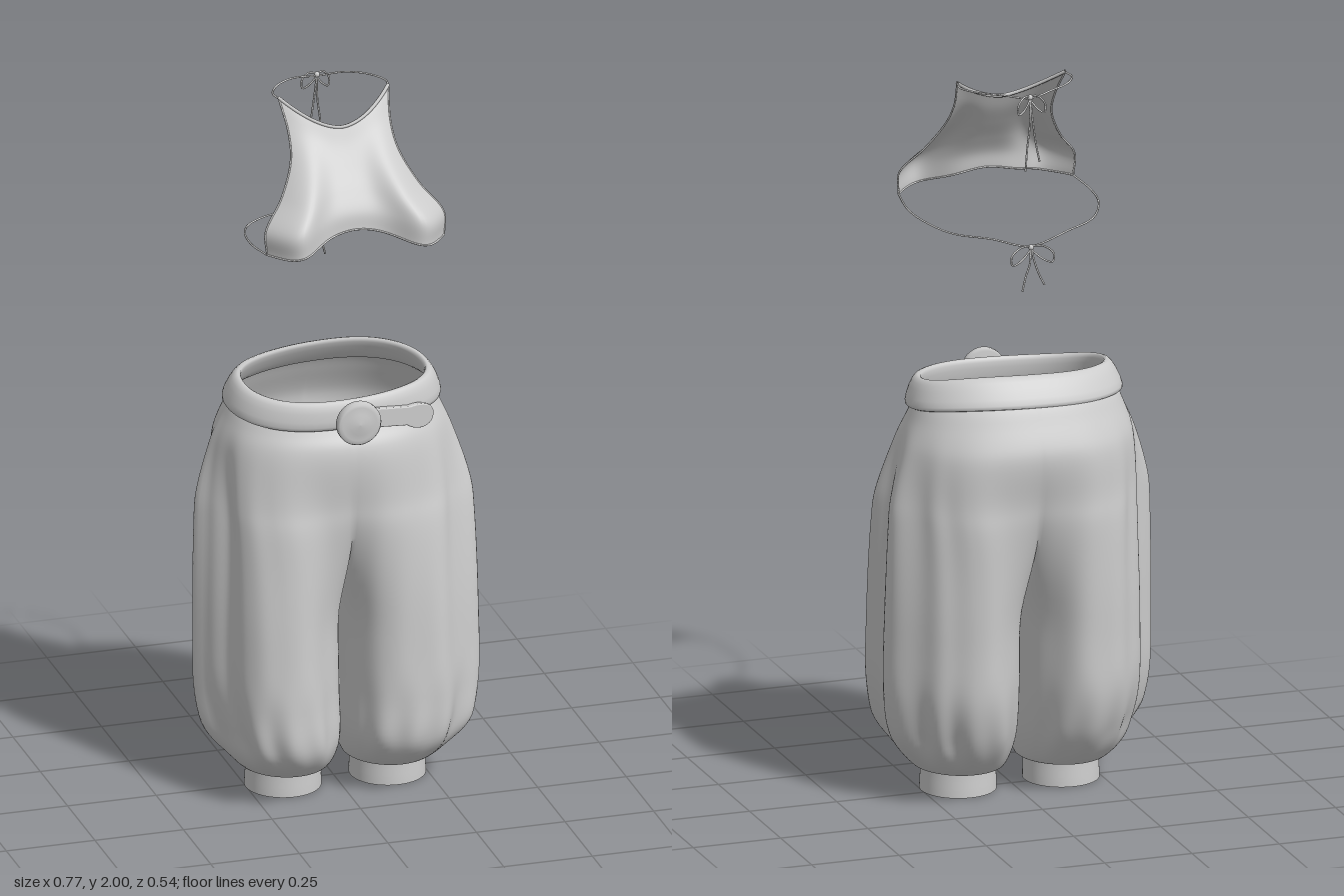
import * as THREE from 'three';
import { mergeGeometries, mergeVertices } from 'three/addons/utils/BufferGeometryUtils.js';

const { lerp, smoothstep } = THREE.MathUtils;
const V = (x, y, z) => new THREE.Vector3(x, y, z);
const material = new THREE.MeshStandardMaterial({ color: 0xcccccc, side: THREE.DoubleSide });
const spow = (v, p) => Math.sign(v) * Math.abs(v) ** p;

function mesh(name, geometry) {
  const m = new THREE.Mesh(geometry, material);
  m.name = name;
  return m;
}

// Surface from a grid of points; rows run downwards, columns run to the right
function grid(rows, cols, point, flip = false, keep = () => true) {
  const pos = [], index = [];
  for (let i = 0; i <= rows; i++)
    for (let j = 0; j <= cols; j++) pos.push(...point(i, j));
  for (let i = 0; i < rows; i++)
    for (let j = 0; j < cols; j++) {
      if (!keep(i, j)) continue;
      const a = i * (cols + 1) + j, b = a + 1, c = a + cols + 1, d = c + 1;
      index.push(...(flip ? [a, b, c, b, d, c] : [a, c, b, b, c, d]));
    }
  const g = new THREE.BufferGeometry();
  g.setAttribute('position', new THREE.Float32BufferAttribute(pos, 3));
  g.setIndex(index);
  return g;
}

function smooth(...parts) {
  const g = mergeVertices(mergeGeometries(parts), 1e-4);
  g.computeVertexNormals();
  return g;
}

// Smooth interpolation through the rows of a small table
function sampler(table) {
  const curve = k => new THREE.CatmullRomCurve3(table.map(r => V(r[k], r[k + 1], r[k + 2])), false, 'catmullrom', 0.5);
  const a = curve(0), b = curve(3);
  return t => [...a.getPoint(t).toArray(), ...b.getPoint(t).toArray()];
}

function cord(name, points, radius = 0.0027, closed = false) {
  const path = new THREE.CatmullRomCurve3(points, closed);
  return mesh(name, new THREE.TubeGeometry(path, 64, radius, 6, closed));
}

// Trouser sections: y, outer x, inner x, front z, back z, roundness
const legSections = sampler([
  [1.13, 0.275, 0, 0.15, -0.19, 0.9],
  [1.08, 0.297, 0, 0.17, -0.228, 0.9],
  [1.0, 0.328, 0, 0.198, -0.268, 0.9],
  [0.87, 0.353, 0, 0.213, -0.268, 0.9],
  [0.76, 0.36, 0, 0.23, -0.272, 0.92],
  [0.5, 0.368, 0, 0.235, -0.253, 0.95],
  [0.3, 0.366, 0, 0.247, -0.248, 0.95],
  [0.16, 0.335, 0.002, 0.238, -0.20, 0.95],
  [0.075, 0.272, 0.022, 0.16, -0.125, 1],
  [0.088, 0.25, 0.043, 0.122, -0.088, 1],
  [0, 0.252, 0.043, 0.122, -0.09, 1],
]);

// Broad pleats of each leg: place around the leg, width, depth
const pleats = {
  1: [[0.06, 0.04, 0.07], [0.3, 0.04, -0.03], [0.415, 0.035, 0.13], [0.475, 0.025, -0.05], [0.55, 0.045, 0.08],
    [0.66, 0.05, -0.07], [0.73, 0.04, -0.04], [0.87, 0.07, 0.06]],
  '-1': [[0.06, 0.05, -0.09], [0.32, 0.04, -0.05], [0.415, 0.055, -0.17], [0.515, 0.022, 0.16], [0.59, 0.06, -0.15],
    [0.71, 0.05, -0.1], [0.86, 0.07, 0.08]],
};

function trouserHalf(side) {
  const per = 7, rows = 10 * per, crotch = 4 * per, outer = 120, inner = 16;
  const point = (i, j) => {
    const [y, xo, xi, zf, zb, p] = legSections(i / rows);
    const isInner = j > outer;
    const u = Math.min(j / outer, 1), k = isInner ? (j - outer) / inner : 0;
    const cx = (xo + xi) / 2, hx = (xo - xi) / 2, zc = (zf + zb) / 2, zr = (zf - zb) / 2;
    const w = 1 - smoothstep(y, 0.45, 1.05);      // from shared hips to separate leg
    const split = 1 - smoothstep(y, 0.5, 0.76);   // opening of the inner legs
    const a = -Math.PI / 3 + u * Math.PI * 5 / 3 + k * Math.PI / 3;
    const legX = cx + hx * spow(Math.sin(a), p), legZ = zc + zr * spow(Math.cos(a), p);
    if (isInner) {
      const hipZ = zc + zr * (2 * k - 1);
      return [side * w * legX * split, y - 0.1 * Math.sin(Math.PI * k) * (1 - split), lerp(hipZ, legZ, w)];
    }
    const h = Math.PI * u, bulge = Math.sin(h);
    const seamX = cx + hx * spow(Math.sin(-Math.PI / 3), p);
    let x = lerp(xo * spow(Math.sin(h), p), legX, w) - w * seamX * (1 - split) * (1 - bulge);
    let z = lerp(zc + zr * spow(Math.cos(h), p), legZ, w);
    // Hanging pleats, with tighter gathers above the cuff
    const env = smoothstep(y, 0.085, 0.2) * (1 - smoothstep(y, 0.8, 1.1)) * Math.sqrt(Math.max(bulge, 0));
    const gather = 1 - smoothstep(y, 0.1, 0.4);
    let f = 0.018 * Math.cos(2 * Math.PI * 7 * u + side * 1.3) + 0.045 * gather * Math.cos(2 * Math.PI * 10 * u + side);
    for (const [place, width, depth] of pleats[side]) f += depth * Math.exp(-(((u - place) / width) ** 2));
    f *= env * lerp(0.55, 1, w);
    x += (x - cx * w) * f;
    z += (z - zc) * f;
    // The waist rises towards the back, under the band
    return [side * x, y - 0.03 * smoothstep(y, 1.02, 1.13) * Math.cos(h), z];
  };
  return grid(rows, outer + inner, point, side < 0, (i, j) => j < outer || i >= crotch);
}

function waistband() {
  const n = 80, m = 14;
  return smooth(grid(m, n, (i, j) => {
    const a = (j % n) / n * Math.PI * 2, b = (i % m) / m * Math.PI * 2;
    const up = 0.04 * spow(Math.cos(b), 0.8);
    // The band flares outwards, most of all at the back
    const out = 0.015 * spow(Math.sin(b), 0.8) - up * (0.4 - 0.25 * Math.cos(a));
    const c = spow(Math.cos(a), 0.9), s = spow(Math.sin(a), 0.9);
    return [(0.277 + out) * s, 1.143 - 0.022 * Math.cos(a) + 0.004 * Math.sin(3 * a) + up, -0.012 + (0.173 + out) * c];
  }));
}

function buckle() {
  const g = new THREE.Group();
  g.name = 'buckle';
  const profile = [[0, -0.014], [0.056, -0.014], [0.062, -0.006], [0.062, 0.008], [0.057, 0.016], [0.048, 0.013], [0.03, 0.018], [0, 0.021]];
  const disc = mesh('buckleDisc', new THREE.LatheGeometry(profile.map(q => new THREE.Vector2(...q)), 40));
  disc.rotation.x = Math.PI / 2;
  disc.position.set(0.008, 1.11, 0.205);
  // Strap end widening to a rounded tip
  const s = new THREE.Shape();
  s.moveTo(0, -0.024);
  s.lineTo(0.13, -0.024);
  s.bezierCurveTo(0.16, -0.042, 0.205, -0.035, 0.205, 0);
  s.bezierCurveTo(0.205, 0.035, 0.16, 0.034, 0.13, 0.024);
  s.lineTo(0, 0.024);
  const strap = mesh('beltTongue', new THREE.ExtrudeGeometry(s, { depth: 0.01, bevelSize: 0.003, bevelThickness: 0.004, bevelSegments: 3, curveSegments: 12 }));
  strap.position.set(0.035, 1.115, 0.185);
  strap.rotation.set(0, 0.24, -0.15);
  g.add(disc, strap);
  return g;
}

// Halter rows: edge y, centre y, half width, edge z, centre z, bust depth
const halterSections = sampler([
  [2.0, 1.925, 0.155, 0, 0.075, 0],
  [1.92, 1.88, 0.144, 0.055, 0.10, 0.005],
  [1.85, 1.83, 0.153, 0.105, 0.135, 0.02],
  [1.77, 1.775, 0.195, 0.155, 0.175, 0.052],
  [1.70, 1.725, 0.25, 0.195, 0.205, 0.073],
  [1.633, 1.68, 0.25, 0.205, 0.213, 0.067],
]);

function halterPoint(t, u) {
  const [yE, yC, w, zE, zC, bust] = halterSections(t);
  const v = Math.abs(u);
  // Neckline dips in a V; the lower hem arches between the cups
  const rise = lerp(v ** 1.7, smoothstep(v, 0, 0.85), t);
  return [u * w, lerp(yC, yE, rise),
    lerp(zC, zE, v ** 2) + bust * (Math.exp(-(((v - 0.69) / 0.28) ** 2)) - 0.29 * v ** 10)];
}

function bow(name, y, z, tail, width) {
  const g = new THREE.Group();
  g.name = name;
  g.add(mesh('knot', new THREE.SphereGeometry(0.008, 10, 8)));
  for (const s of [-1, 1]) {
    const r = s * width;
    g.add(cord('bowLoop', [V(0, 0, 0), V(r * 0.5, 0.004, -0.008), V(r, -0.018, -0.014), V(r * 0.95, -0.042, -0.014), V(r * 0.5, -0.032, -0.01)], 0.0027, true));
    g.add(cord('bowTail', [V(0, 0, 0), V(r * 0.13, -tail * 0.4, -0.012), V(r * 0.33, -tail * 0.7, -0.014), V(r * 0.53, -tail * (1 + s * 0.06), -0.02)]));
  }
  g.position.set(0, y, z);
  return g;
}

export function createModel() {
  const model = new THREE.Group();
  model.name = 'outfit';

  const trousers = new THREE.Group();
  trousers.name = 'trousers';
  trousers.add(mesh('trouserLegs', smooth(trouserHalf(1), trouserHalf(-1))), mesh('waistband', waistband()), buckle());

  const halter = new THREE.Group();
  halter.name = 'halterTop';
  halter.add(mesh('halterCloth', smooth(grid(40, 48, (i, j) => halterPoint(i / 40, j / 24 - 1)))));
  // Rolled hems along the neck, bottom and sides
  const steps = Array.from({ length: 25 }, (_, i) => i / 24);
  halter.add(cord('neckHem', steps.map(q => V(...halterPoint(0, q * 2 - 1))), 0.005));
  halter.add(cord('bottomHem', steps.map(q => V(...halterPoint(1, q * 2 - 1)))));
  for (const s of [-1, 1]) halter.add(cord('sideHem', steps.map(q => V(...halterPoint(q, s)))));

  // Ties behind the neck and back
  const both = half => [...half.map(q => V(...q)), ...half.slice(0, -1).reverse().map(q => V(-q[0], q[1], q[2]))];
  halter.add(cord('neckTie', both([[0.155, 1.997, 0], [0.159, 1.997, -0.04], [0.125, 1.997, -0.095], [0.07, 1.995, -0.13], [0, 1.985, -0.148]])));
  halter.add(cord('backTie', both([[0.25, 1.633, 0.205], [0.262, 1.624, 0.1], [0.25, 1.618, 0.0], [0.2, 1.605, -0.09], [0.11, 1.597, -0.145], [0, 1.568, -0.155]])));
  halter.add(bow('neckBow', 1.988, -0.15, 0.19, 0.038), bow('backBow', 1.565, -0.157, 0.11, 0.06));

  model.add(trousers, halter);
  return model;
}
